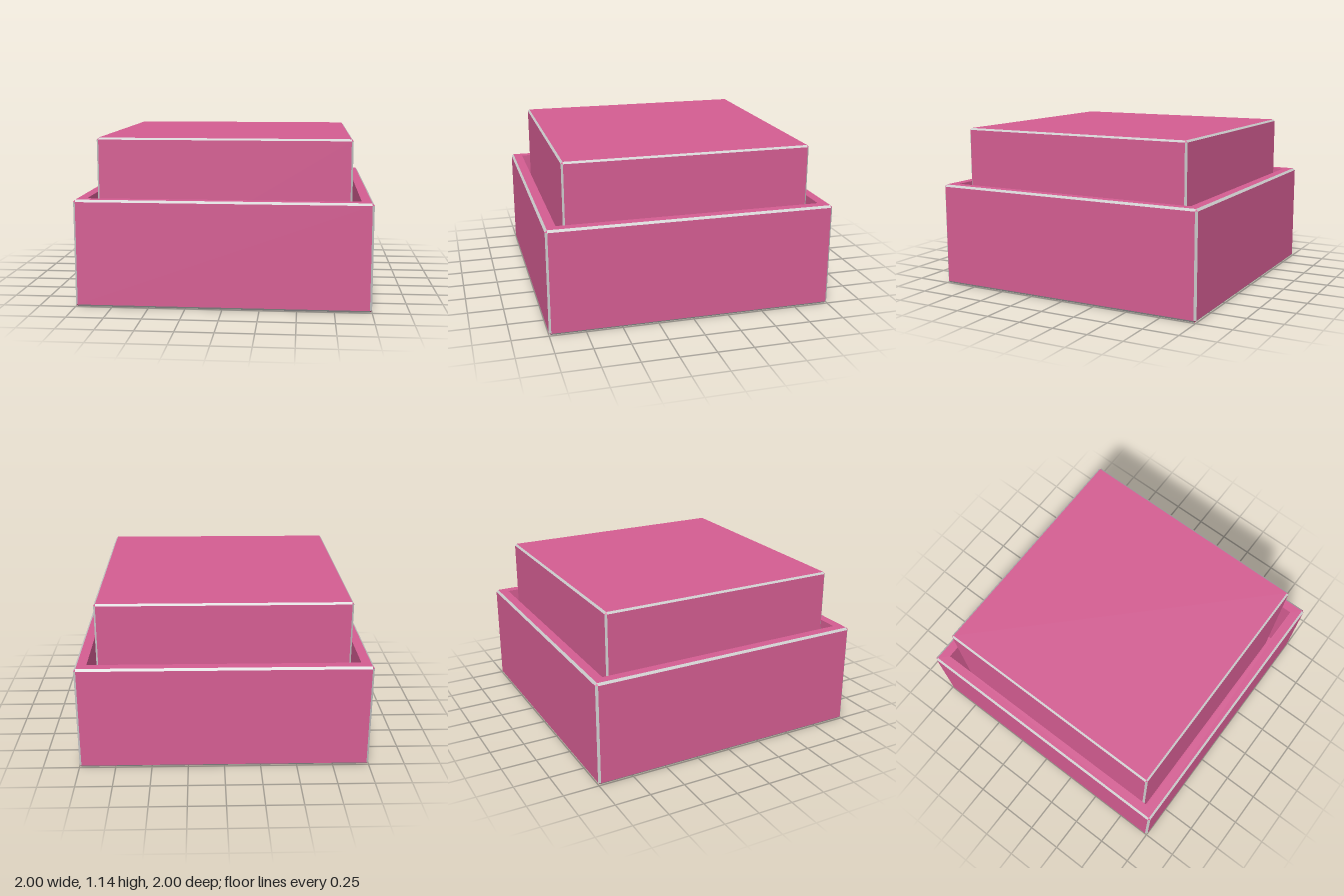
import * as THREE from 'three';

const pink = new THREE.MeshStandardMaterial({ color: 0xd45d92 });
const grey = new THREE.MeshStandardMaterial({ color: 0xcccccc });
const SIGNS = [-1, 1];

// Flat-shaded mesh from convex polygons, each turned away from the centre
function polygonMesh(name, polygons, centre, material) {
  const points = [];
  for (const p of polygons) {
    const normal = p[1].clone().sub(p[0]).cross(p[2].clone().sub(p[0]));
    const corners = normal.dot(p[0].clone().sub(centre)) < 0 ? [...p].reverse() : p;
    for (let i = 1; i < corners.length - 1; i++) points.push(corners[0], corners[i], corners[i + 1]);
  }
  const geometry = new THREE.BufferGeometry().setFromPoints(points);
  geometry.computeVertexNormals();
  const mesh = new THREE.Mesh(geometry, material);
  mesh.name = name;
  return mesh;
}

// Block with pink panels and corners and narrow grey chamfers along its edges
function chamferedBlock(name, half, y0, y1, bevel, openTop) {
  const size = [half, (y1 - y0) / 2, half];
  const centre = new THREE.Vector3(0, (y0 + y1) / 2, 0);
  // Corner of the panel that faces along one axis
  const corner = (axis, s) => new THREE.Vector3(
    ...size.map((h, i) => s[i] * (i === axis ? h : h - bevel))).add(centre);
  const panels = [], strips = [], tips = [];
  for (let a = 0; a < 3; a++) {
    const b = (a + 1) % 3, c = (a + 2) % 3;
    const signs = (sa, sb, sc) => {
      const s = [];
      s[a] = sa; s[b] = sb; s[c] = sc;
      return s;
    };
    for (const sa of SIGNS) {
      if (!(openTop && a === 1 && sa === 1)) {
        panels.push([[-1, -1], [1, -1], [1, 1], [-1, 1]].map(([u, v]) => corner(a, signs(sa, u, v))));
      }
      for (const sb of SIGNS) {
        const lo = signs(sa, sb, -1), hi = signs(sa, sb, 1);
        strips.push([corner(a, lo), corner(a, hi), corner(b, hi), corner(b, lo)]);
      }
    }
  }
  for (const x of SIGNS) for (const y of SIGNS) for (const z of SIGNS) {
    tips.push([0, 1, 2].map(axis => corner(axis, [x, y, z])));
  }
  const group = new THREE.Group();
  group.name = name;
  group.add(
    polygonMesh(name + 'Panels', panels, centre, pink),
    polygonMesh(name + 'EdgeStrips', strips, centre, grey),
    polygonMesh(name + 'Corners', tips, centre, pink));
  return group;
}

function square(half, PathType) {
  return new PathType([[-1, -1], [1, -1], [1, 1], [-1, 1]].map(([x, y]) => new THREE.Vector2(x * half, y * half)));
}

export function createModel() {
  const model = new THREE.Group();
  model.name = 'nestedBoxes';
  const bevel = 0.015, rimY = 0.735, inner = 0.92, floorY = 0.08;

  // Open outer box
  const base = chamferedBlock('base', 1, 0, rimY, bevel, true);

  // Flat rim around the opening
  const rimShape = square(1 - bevel, THREE.Shape);
  rimShape.holes.push(square(inner, THREE.Path));
  const rim = new THREE.Mesh(new THREE.ShapeGeometry(rimShape).rotateX(-Math.PI / 2), pink);
  rim.name = 'rim';
  rim.position.y = rimY;
  base.add(rim);

  // Inner walls and floor of the recess
  for (let i = 0; i < 4; i++) {
    const geometry = new THREE.PlaneGeometry(inner * 2, rimY - floorY)
      .translate(0, (rimY + floorY) / 2, -inner).rotateY(i * Math.PI / 2);
    const wall = new THREE.Mesh(geometry, pink);
    wall.name = 'innerWall';
    base.add(wall);
  }
  const floor = new THREE.Mesh(new THREE.PlaneGeometry(inner * 2, inner * 2).rotateX(-Math.PI / 2), pink);
  floor.name = 'recessFloor';
  floor.position.y = floorY;
  base.add(floor);
  model.add(base);

  // Smaller box standing inside the base
  model.add(chamferedBlock('innerBox', 0.862, floorY, 1.14, 0.013, false));
  return model;
}
